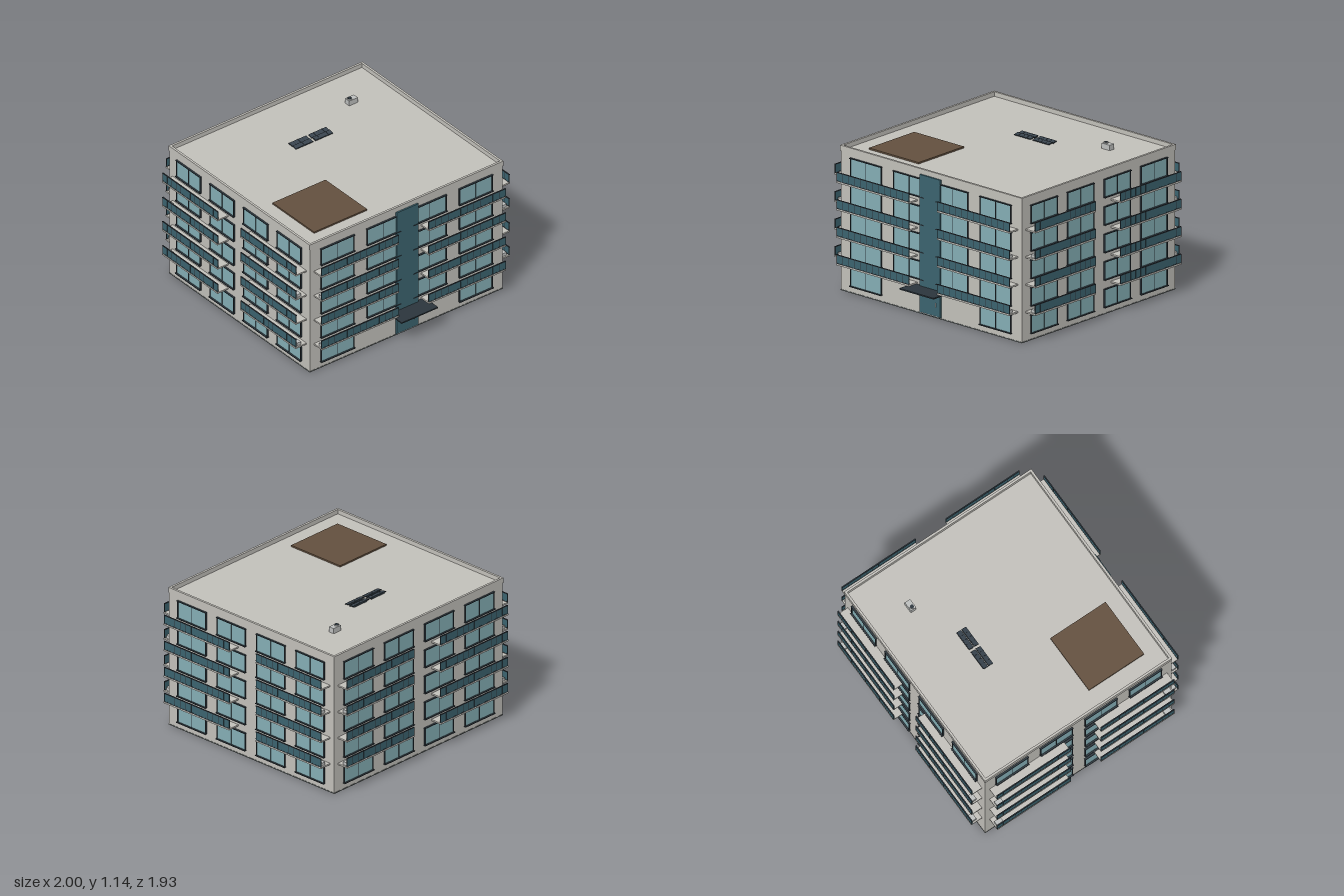
import * as THREE from 'three';

const mat = (name, color, side = THREE.FrontSide) => {
  const m = new THREE.MeshStandardMaterial({ color, side });
  m.name = name;
  return m;
};

export function createModel() {
  const M = {
    wall: mat('concrete', 0xc4c2bc),
    frame: mat('dark frame', 0x2c363d),
    window: mat('window glass', 0x86b0b7),
    tint: mat('tinted glass', 0x3c6470),
    base: mat('foundation', 0x737a78),
    deck: mat('timber deck', 0x64513f),
    metal: mat('light metal', 0xbfc1c0),
    solar: mat('solar panel', 0x3a454f),
  };
  const model = new THREE.Group();
  model.name = 'apartmentBlock';

  // box given by its min and max on each axis
  const box = (parent, name, m, x0, x1, y0, y1, z0, z1) => {
    const mesh = new THREE.Mesh(new THREE.BoxGeometry(x1 - x0, y1 - y0, z1 - z0), m);
    mesh.position.set((x0 + x1) / 2, (y0 + y1) / 2, (z0 + z1) / 2);
    mesh.name = name;
    parent.add(mesh);
    return mesh;
  };
  const group = (parent, name, x = 0, y = 0, z = 0) => {
    const g = new THREE.Group();
    g.name = name;
    g.position.set(x, y, z);
    parent.add(g);
    return g;
  };

  const X = 0.9, ZF = 0.8, ZB = -0.87, ZC = (ZF + ZB) / 2;
  const ROOF = 1.09, TOP = 1.125, PITCH = 0.2133;

  // main block, foundation and roof parapet
  box(model, 'foundation', M.base, -X - 0.002, X + 0.002, 0, 0.008, ZB - 0.002, ZF + 0.002);
  box(model, 'walls', M.wall, -X, X, 0.008, ROOF, ZB, ZF);
  const rect = (Ctor, hx, hz) => new Ctor([
    new THREE.Vector2(-hx, -hz), new THREE.Vector2(hx, -hz),
    new THREE.Vector2(hx, hz), new THREE.Vector2(-hx, hz),
  ]);
  const hz = (ZF - ZB) / 2;
  const ring = rect(THREE.Shape, X + 0.004, hz + 0.004);
  ring.holes.push(rect(THREE.Path, X - 0.014, hz - 0.014));
  const parapet = new THREE.Mesh(
    new THREE.ExtrudeGeometry(ring, { depth: TOP - 1.083, bevelEnabled: false }), M.wall);
  parapet.name = 'parapet';
  parapet.rotation.x = -Math.PI / 2;
  parapet.position.set(0, 1.083, ZC);
  model.add(parapet);

  // two-pane sliding window, origin at bottom centre on the wall
  const addWindow = (parent, x, y, w) => {
    const g = group(parent, 'window', x, y, 0);
    const h = 0.145, t = 0.006, d = 0.012, r = w / 2;
    box(g, 'windowGlass', M.window, -r + t, r - t, t, h - t, 0, 0.006);
    for (const s of [-1, 1]) {
      const a = s * (r - t / 2);
      box(g, 'windowJamb', M.frame, a - t / 2, a + t / 2, 0, h, 0, d);
    }
    box(g, 'windowMullion', M.frame, -0.002, 0.002, 0, h, 0, d - 0.003);
    box(g, 'windowHead', M.frame, -r - 0.003, r + 0.003, h - t, h, 0, d + 0.003);
    box(g, 'windowSill', M.frame, -r - 0.003, r + 0.003, 0, t, 0, 0.02);
  };

  // balcony with slab, glass railing and optional cooling unit
  const addBalcony = (parent, x, y, w, depth, unitSide) => {
    const g = group(parent, 'balcony', x, y, 0);
    const r = w / 2, z1 = depth - 0.003, z0 = z1 - 0.005;
    box(g, 'balconySlab', M.wall, -r, r, -0.012, 0, 0, depth);
    box(g, 'railingGlass', M.tint, -r, r, 0.004, 0.064, z0, z1);
    box(g, 'topRail', M.frame, -r, r, 0.064, 0.07, z0 - 0.002, z1 + 0.002);
    box(g, 'bottomRail', M.frame, -r, r, 0, 0.005, z0 - 0.001, z1 + 0.001);
    const n = 12;
    for (let i = 0; i <= n; i++) {
      const p = -r + 0.0015 + (i / n) * (w - 0.003);
      box(g, 'railingPost', M.frame, p - 0.0015, p + 0.0015, 0, 0.066, z0 - 0.001, z1 + 0.001);
    }
    if (unitSide) {
      const c = unitSide * (r - 0.04);
      box(g, 'coolingUnit', M.metal, c - 0.028, c + 0.028, 0, 0.024, 0.042, 0.078);
    }
  };

  // one facade: windows on five storeys, balconies on the upper four
  const addFacade = (name, x, z, turn, o) => {
    const g = group(model, name, x, 0, z);
    g.rotation.y = turn;
    for (let k = 0; k < 5; k++) {
      for (const s of [-1, 1]) {
        o.windows.forEach((c, i) => {
          if (k === 0 && i === 0 && o.entrance) return;
          addWindow(g, s * c, 0.052 + k * PITCH, o.width);
        });
        if (k > 0) {
          addBalcony(g, s * o.balcony, 0.237 + (k - 1) * PITCH, o.span, o.depth, k % 2 ? s : 0);
        }
      }
    }
  };
  const long = { windows: [0.215, 0.645], width: 0.31, balcony: 0.5, span: 0.72 };
  const side = { windows: [0.2, 0.598], width: 0.288, balcony: 0.465, span: 0.66, depth: 0.1 };
  addFacade('frontFacade', 0, ZF, 0, { ...long, depth: 0.093, entrance: true });
  addFacade('backFacade', 0, ZB, Math.PI, { ...long, depth: 0.095 });
  addFacade('leftFacade', X, ZC, Math.PI / 2, side);
  addFacade('rightFacade', -X, ZC, -Math.PI / 2, side);

  // glazed stair tower with entrance door and canopy
  const entry = group(model, 'entrance', 0, 0, ZF);
  box(entry, 'stairGlazing', M.tint, -0.1, 0.1, 0.012, 1.085, 0, 0.017);
  box(entry, 'doorThreshold', M.metal, -0.096, 0.096, 0.016, 0.02, 0.01, 0.019);
  box(entry, 'doorHandle', M.metal, 0.058, 0.061, 0.09, 0.125, 0.01, 0.023);
  box(entry, 'canopy', M.frame, -0.17, 0.17, 0.212, 0.222, 0, 0.163);

  // roof deck
  box(model, 'roofDeck', M.deck, -0.75, -0.255, ROOF, ROOF + 0.012, 0.165, 0.66);

  // tilted solar panels, two rows in two banks
  for (const s of [-1, 1]) {
    for (const z of [-0.357, -0.312]) {
      const bank = group(model, 'solarBank', s * 0.092, ROOF + 0.012, z);
      bank.rotation.x = 0.2;
      box(bank, 'solarFrame', M.frame, -0.082, 0.082, -0.003, 0.002, -0.021, 0.021);
      for (let i = 0; i < 4; i++) {
        const a = -0.08 + i * 0.0405;
        box(bank, 'solarCell', M.solar, a, a + 0.038, 0.002, 0.004, -0.019, 0.019);
      }
      box(bank, 'solarFoot', M.frame, -0.07, 0.07, -0.012, -0.003, -0.014, -0.01);
    }
  }

  // rooftop ventilation unit with round fan
  const vent = group(model, 'ventilationUnit', 0.537, ROOF, -0.535);
  box(vent, 'ventBody', M.metal, -0.04, 0.04, 0, 0.042, -0.024, 0.024);
  const cowl = new THREE.Mesh(new THREE.CylinderGeometry(0.018, 0.018, 0.008, 20), M.metal);
  cowl.position.set(-0.018, 0.045, 0);
  cowl.name = 'fanCowl';
  const fan = new THREE.Mesh(new THREE.CylinderGeometry(0.015, 0.015, 0.002, 20), M.frame);
  fan.position.set(-0.018, 0.05, 0);
  fan.name = 'fan';
  vent.add(cowl, fan);

  return model;
}
